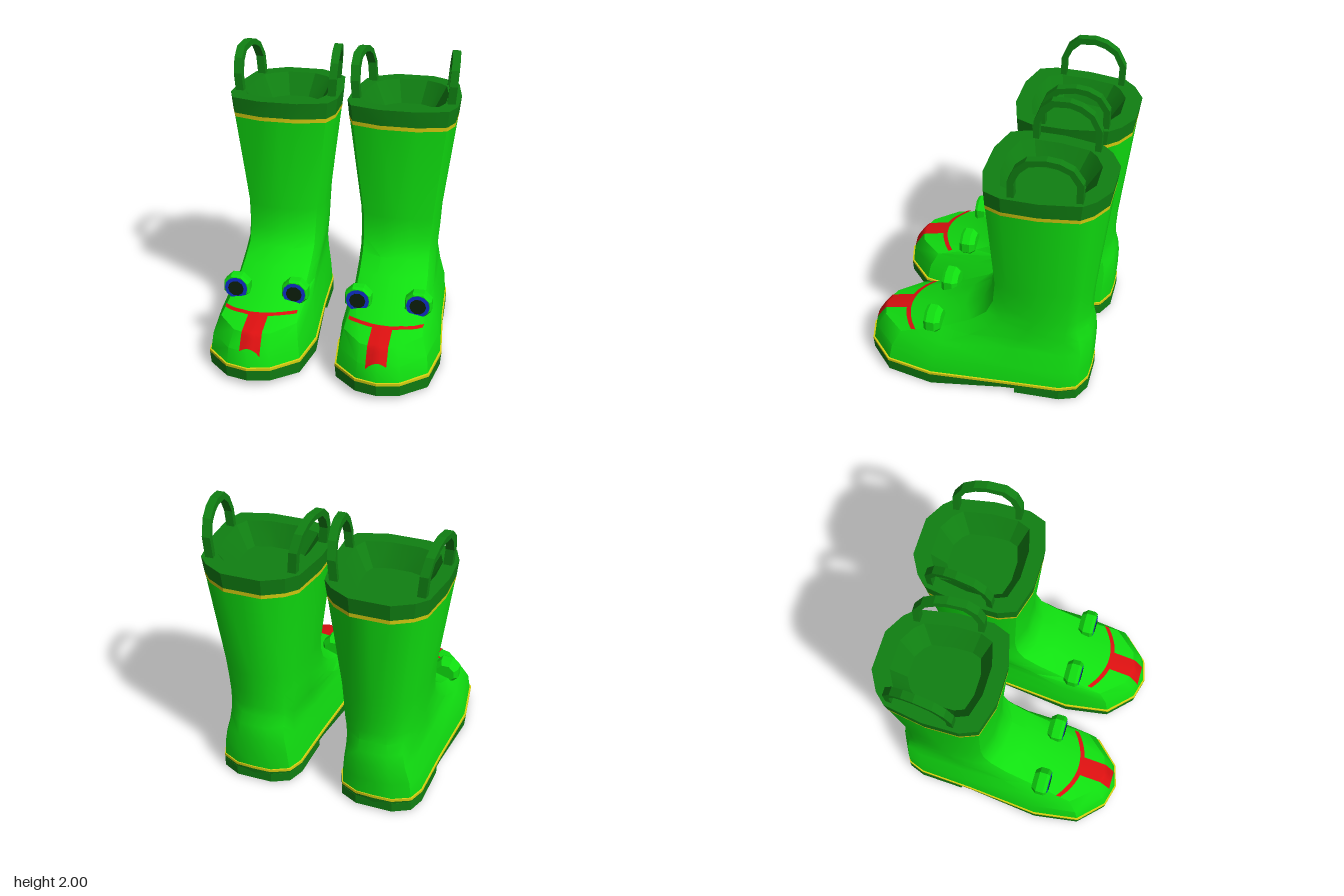
import * as THREE from 'three';
import { toCreasedNormals } from 'three/addons/utils/BufferGeometryUtils.js';

const mat = (name, color, side = THREE.FrontSide) => {
  const m = new THREE.MeshStandardMaterial({ color, side });
  m.name = name;
  return m;
};

// Half outlines from back centre to front centre: [half width, back-to-front], normalised
const SHAFT = [[0, 0], [.35, 0], [.7, .09], [.88, .18], [1, .5], [1, .79], [.88, .93], [.35, 1], [0, 1]];
const FOOT = [[0, 0], [.35, .003], [.68, .04], [.8, .11], [.86, .35], [1, .67], [.88, .87], [.42, .975], [0, 1]];

// One closed ring of 16 points; b blends the foot outline (0) into the shaft outline (1)
function ring(cx, hw, zb, zf, yb, yf, b, sag = 0, yRule = null) {
  const half = FOOT.map(([u, v], i) => {
    const U = THREE.MathUtils.lerp(u, SHAFT[i][0], b) * hw;
    const V = THREE.MathUtils.lerp(v, SHAFT[i][1], b);
    const z = zb + (zf - zb) * V;
    const y = yRule ? yRule(z) : yb + (yf - yb) * V - sag * 4 * V * (1 - V);
    return [U, y, z];
  });
  const out = [];
  for (let k = 0; k < 16; k++) {
    const [u, y, z] = half[k <= 8 ? k : 16 - k];
    out.push([cx + (k <= 8 ? u : -u), y, z]);
  }
  return out;
}

// Skin over a stack of rings, with optional lids
function loft(rings, { bottom = false, top = false, crease = 0.5 } = {}) {
  const idx = [];
  for (let r = 0; r < rings.length - 1; r++) {
    for (let k = 0; k < 16; k++) {
      const a = r * 16 + k, b = r * 16 + (k + 1) % 16;
      idx.push(a, a + 16, b + 16, a, b + 16, b);
    }
  }
  const lid = (o, up) => {
    for (let i = 0; i < 8; i++) {
      const R = o + i, R2 = o + i + 1, L = o + (16 - i) % 16, L2 = o + 15 - i;
      if (i > 0) idx.push(...(up ? [R, L, L2] : [R, L2, L]));
      if (i < 7) idx.push(...(up ? [R, L2, R2] : [R, R2, L2]));
    }
  };
  if (bottom) lid(0, false);
  if (top) lid((rings.length - 1) * 16, true);
  const g = new THREE.BufferGeometry();
  g.setAttribute('position', new THREE.Float32BufferAttribute(rings.flat(2), 3));
  g.setIndex(idx);
  return toCreasedNormals(g, crease);
}

// Mirrored copy across x = 0 with the corner order restored
function mirrored(geo) {
  const g = geo.index ? geo.toNonIndexed() : geo.clone();
  g.scale(-1, 1, 1);
  for (const name of ['position', 'normal']) {
    const a = g.attributes[name].array;
    for (let i = 0; i < a.length; i += 9) {
      for (let j = 3; j < 6; j++) [a[i + j], a[i + j + 3]] = [a[i + j + 3], a[i + j]];
    }
  }
  return g;
}

// Underside of the sole: arched before the heel, rising at the toe
function underside(z) {
  if (z < -.28) return .065;
  if (z < .25) return .004 + .061 * ((.25 - z) / .53) ** 2;
  return .004 + .041 * ((z - .25) / .58) ** 2;
}

// Pull loop: an arch bent to follow the rim and leaning outwards
function handle(side) {
  const pts = [[-.68, 1.66], [-.68, 1.84], [-.62, 1.94], [-.54, 1.985], [-.46, 2], [-.34, 1.985], [-.27, 1.92], [-.23, 1.82], [-.23, 1.66],
    [-.27, 1.66], [-.27, 1.81], [-.305, 1.89], [-.36, 1.945], [-.46, 1.96], [-.53, 1.945], [-.595, 1.91], [-.64, 1.83], [-.64, 1.66]];
  const shape = new THREE.Shape(pts.map(([z, y]) => new THREE.Vector2(-z, y)));
  const g = new THREE.ExtrudeGeometry(shape, { depth: .055, bevelEnabled: false });
  g.translate(0, 0, -.0275).rotateY(Math.PI / 2);
  const p = g.attributes.position;
  for (let i = 0; i < p.count; i++) {
    const off = .275 + .05 * (p.getZ(i) + .68) / .45 + .025 * (p.getY(i) - 1.7) / .3;
    p.setX(i, .41 + p.getX(i) + side * off);
  }
  g.computeVertexNormals();
  return g;
}

// Thin skin laid on a surface; at(u, v) gives [x, z]
function drape(target, at, nu, nv) {
  const ray = new THREE.Raycaster(), down = new THREE.Vector3(0, -1, 0);
  const pos = [], idx = [];
  for (let j = 0; j <= nv; j++) {
    for (let i = 0; i <= nu; i++) {
      const [x, z] = at(i / nu, j / nv);
      ray.set(new THREE.Vector3(x, 1.2, z), down);
      const hit = ray.intersectObject(target)[0];
      const p = hit ? hit.point.addScaledVector(hit.face.normal, .007) : new THREE.Vector3(x, .36, z);
      pos.push(p.x, p.y, p.z);
      if (i < nu && j < nv) {
        const a = j * (nu + 1) + i, b = a + nu + 1;
        idx.push(a, b, a + 1, a + 1, b, b + 1);
      }
    }
  }
  const g = new THREE.BufferGeometry();
  g.setAttribute('position', new THREE.Float32BufferAttribute(pos, 3));
  g.setIndex(idx);
  g.computeVertexNormals();
  return g;
}

export function createModel() {
  const green = mat('bright green', 0x10e010), dark = mat('dark green', 0x108012);
  const yellow = mat('yellow', 0xd8d010), red = mat('red', 0xdc1010, THREE.DoubleSide);
  const blue = mat('blue', 0x1030d0), black = mat('pupil black', 0x0c200c);
  const parts = [];
  const add = (name, geo, m) => parts.push([name, geo, m]);

  // Foot and shaft
  const upper = loft([
    ring(.435, .35, -.755, .82, .125, .135, 0, .025),
    ring(.435, .335, -.76, .795, .25, .24, 0),
    ring(.425, .3, -.762, .73, .38, .345, 0),
    ring(.42, .275, -.75, .38, .48, .43, .3),
    ring(.415, .27, -.728, .13, .56, .54, .6),
    ring(.41, .266, -.726, 0, .63, .63, .8),
    ring(.41, .267, -.73, -.06, .74, .74, 1),
    ring(.41, .275, -.745, -.075, .9, .9, 1),
    ring(.41, .358, -.81, -.03, 1.56, 1.56, 1),
  ], { crease: .6 });
  add('bootUpper', upper, green);

  // Stripe below the collar, collar and lining
  add('collarStripe', loft([
    ring(.41, .36, -.812, -.028, 1.56, 1.56, 1),
    ring(.41, .363, -.814, -.027, 1.588, 1.588, 1),
  ]), yellow);
  add('collar', loft([
    ring(.41, .363, -.814, -.027, 1.588, 1.588, 1),
    ring(.41, .375, -.828, -.02, 1.7, 1.7, 1),
    ring(.41, .285, -.72, -.12, 1.7, 1.7, 1),
    ring(.41, .2, -.63, -.19, 1.55, 1.55, 1),
  ], { top: true, crease: .3 }), dark);
  add('outerHandle', handle(1), dark);
  add('innerHandle', handle(-1), dark);

  // Sole, welt stripe and heel block
  add('sole', loft([
    ring(.435, .352, -.755, .825, 0, 0, 0, 0, underside),
    ring(.435, .36, -.76, .83, .105, .12, 0, .025),
  ], { bottom: true }), dark);
  add('weltStripe', loft([
    ring(.435, .36, -.76, .83, .105, .12, 0, .025),
    ring(.435, .36, -.76, .83, .125, .138, 0, .025),
    ring(.435, .34, -.74, .805, .128, .141, 0, .025),
  ]), yellow);
  const side = [[.303, -.28], [.288, -.585], [.245, -.696], [.126, -.755]];
  const heelShape = new THREE.Shape([...side, ...side.map(([x, z]) => [-x, z]).reverse()]
    .map(([x, z]) => new THREE.Vector2(x, z)));
  add('heel', new THREE.ExtrudeGeometry(heelShape, { depth: .07, bevelEnabled: false })
    .rotateX(Math.PI / 2).translate(.435, .087, 0), dark);

  // Eyes: faceted knobs with blue and black discs
  const knob = [[0, -.055], [.07, -.055], [.098, -.02], [.098, .035], [.086, .055], [0, .055]]
    .map(([r, y]) => new THREE.Vector2(r, y));
  for (const [label, x] of [['inner', .22], ['outer', .63]]) {
    const lathe = toCreasedNormals(new THREE.LatheGeometry(knob, 8, Math.PI / 8).rotateX(Math.PI / 2), .3);
    add(label + 'EyeKnob', lathe.translate(x, .473, .307), green);
    add(label + 'EyeIris', new THREE.CircleGeometry(.08, 12).translate(x, .473, .366), blue);
    add(label + 'EyePupil', new THREE.CircleGeometry(.056, 10).translate(x, .473, .37), black);
  }

  // Smile and tongue laid on the toe
  const toe = new THREE.Mesh(upper, green);
  add('smile', drape(toe, (u, v) => {
    const x = .18 + .5 * u;
    return [x, .53 - .1 * ((x - .43) / .25) ** 2 + .032 * v];
  }, 28, 2), red);
  add('tongue', drape(toe, (u, v) => [.355 + .135 * u, .545 + .235 * v], 6, 20), red);

  // The pair of boots
  const model = new THREE.Group();
  for (const s of [1, -1]) {
    const boot = new THREE.Group();
    boot.name = s > 0 ? 'leftBoot' : 'rightBoot';
    for (const [name, geo, m] of parts) {
      const mesh = new THREE.Mesh(s > 0 ? geo : mirrored(geo), m);
      mesh.name = name;
      boot.add(mesh);
    }
    model.add(boot);
  }
  model.name = 'rainBoots';
  return model;
}
